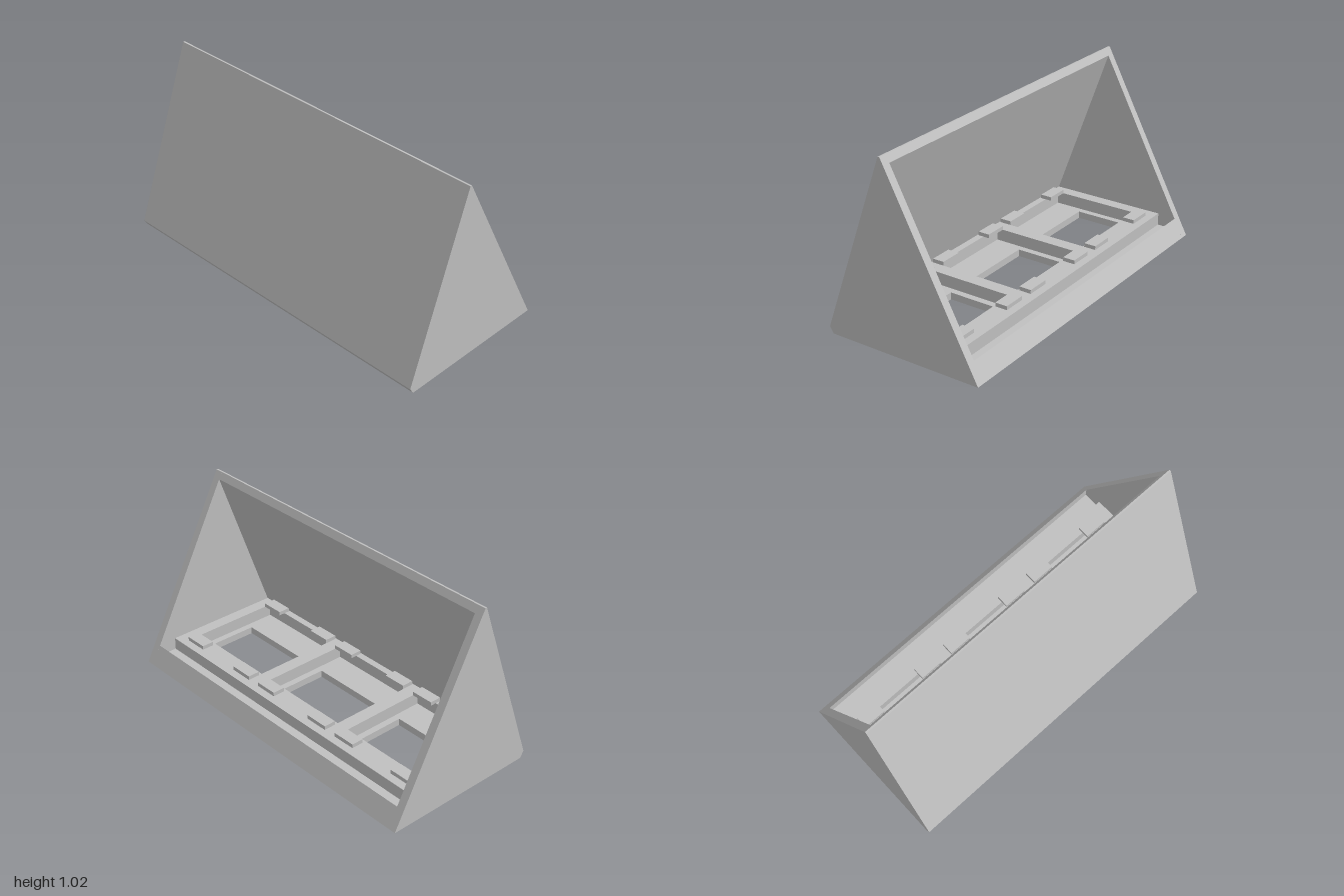
import * as THREE from 'three';

const grey = new THREE.MeshStandardMaterial({ color: 0xc0c0c0 });
grey.name = 'lightGrey';

const WALL = 0.045;   // side wall thickness
const INNER = 1 - WALL;

function addMesh(group, name, geometry) {
  const mesh = new THREE.Mesh(geometry, grey);
  mesh.name = name;
  group.add(mesh);
  return mesh;
}

// Extrudes a [z, y] profile along x, from x0 to x1
function alongX(profile, x0, x1) {
  const shape = new THREE.Shape(profile.map(([z, y]) => new THREE.Vector2(-z, y)));
  return new THREE.ExtrudeGeometry(shape, { depth: x1 - x0, bevelEnabled: false })
    .rotateY(Math.PI / 2).translate(x0, 0, 0);
}

function rectangle(Type, [x0, x1, z0, z1]) {
  return new Type([[x0, -z0], [x0, -z1], [x1, -z1], [x1, -z0]]
    .map(([x, y]) => new THREE.Vector2(x, y)));
}

// Horizontal plate with rectangular openings, from y0 to y1
function plate(outline, openings, y0, y1) {
  const shape = rectangle(THREE.Shape, outline);
  shape.holes = openings.map((o) => rectangle(THREE.Path, o));
  return new THREE.ExtrudeGeometry(shape, { depth: y1 - y0, bevelEnabled: false })
    .rotateX(-Math.PI / 2).translate(0, y0, 0);
}

export function createModel() {
  const model = new THREE.Group();
  model.name = 'wedgeHousing';

  // Triangular end walls
  const endProfile = [[0.433, 0], [0.455, 0.035], [0.095, 1.025], [0.085, 1.025], [-0.455, 0]];
  addMesh(model, 'rightEndWall', alongX(endProfile, -1, -INNER));
  addMesh(model, 'leftEndWall', alongX(endProfile, INNER, 1));

  // Leaning front panel and the low lip at the open back
  addMesh(model, 'frontPanel', alongX(
    [[0.433, 0], [0.455, 0.035], [0.095, 1.025], [0.085, 1.025], [0.065, 0.987], [0.41, 0.04], [0.41, 0]],
    -INNER, INNER));
  addMesh(model, 'backLip', alongX([[-0.455, 0], [-0.4, 0.104], [-0.4, 0]], -INNER, INNER));

  // Floor with three windows, and the raised frame with three wider pockets
  const centres = [-0.616, 0, 0.616];
  const windows = centres.map((x) => [x - 0.233, x + 0.233, -0.095, 0.173]);
  const pockets = centres.map((x) => [x - 0.27, x + 0.27, -0.22, 0.345]);
  addMesh(model, 'floor', plate([-INNER, INNER, -0.4, 0.41], windows, 0, 0.04));
  addMesh(model, 'pocketFrame', plate([-INNER, INNER, -0.295, 0.4], pockets, 0.04, 0.11));

  // Retaining tabs overhanging the corners of each pocket
  for (const x of centres) {
    for (const side of [-1, 1]) {
      for (const z of [-0.215, 0.343]) {
        const tab = addMesh(model, 'retainingTab', new THREE.BoxGeometry(0.133, 0.022, 0.07));
        tab.position.set(x + side * 0.2035, 0.121, z);
      }
    }
  }
  return model;
}
